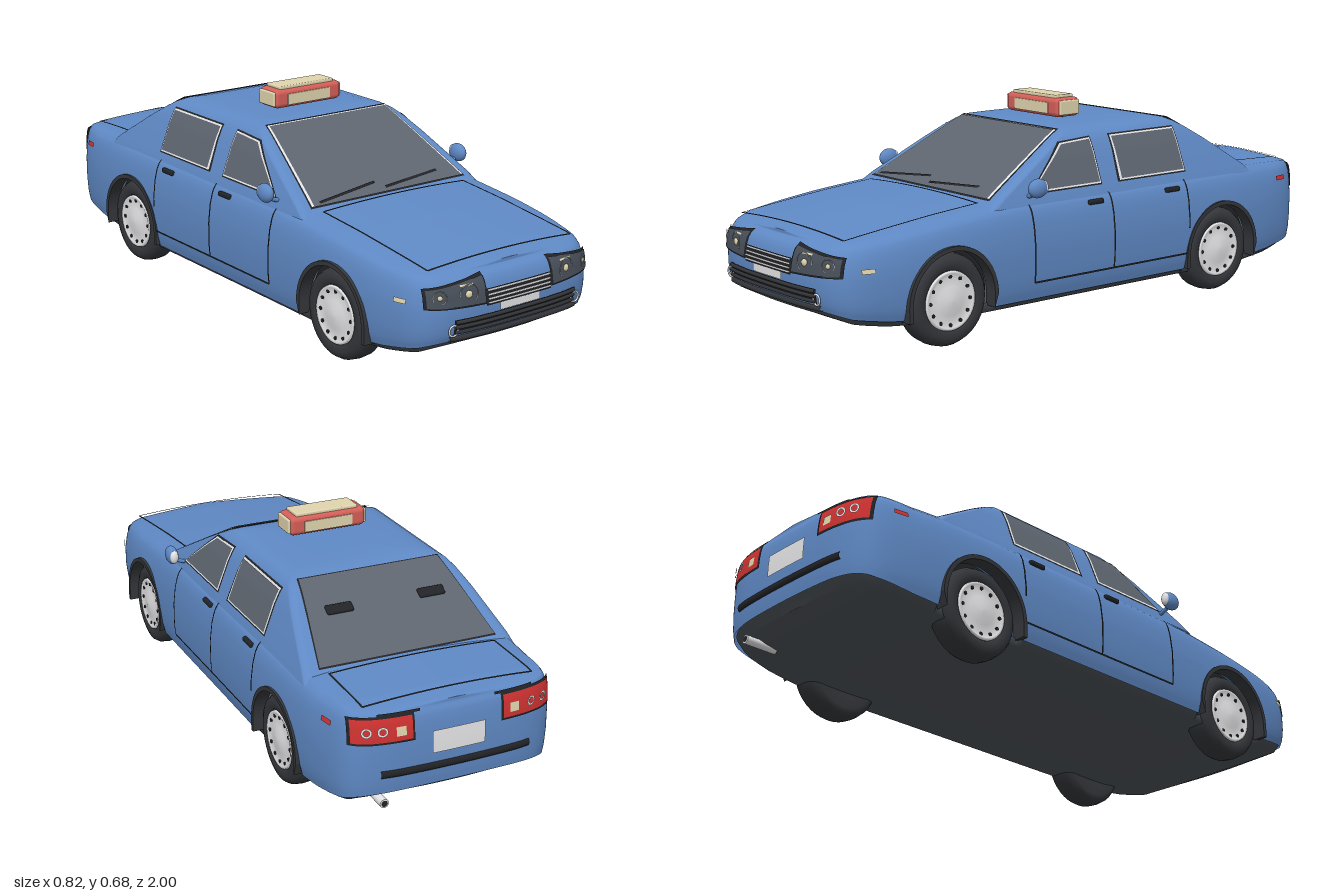
import * as THREE from 'three';
import { RoundedBoxGeometry } from 'three/addons/geometries/RoundedBoxGeometry.js';

const paint = (name, color) => Object.assign(new THREE.MeshStandardMaterial({ color, side: THREE.DoubleSide }), { name });
const M = {
  blue: paint('body blue', 0x5f89c5), glass: paint('window grey', 0x5e656f), black: paint('trim black', 0x222326),
  under: paint('underbody grey', 0x4c5157), tyre: paint('tyre grey', 0x34363a), silver: paint('silver', 0xe6e6e8),
  red: paint('beacon red', 0xd65f59), tail: paint('tail lamp red', 0xcf3231), cream: paint('lamp cream', 0xe0d5ae),
  lens: paint('headlamp grey', 0x474e58),
};

// Linear lookup in rows of [key, value, ...] with ascending keys
function look(t, k, c = 1) {
  let i = 1;
  while (i < t.length - 1 && t[i][0] < k) i++;
  const a = t[i - 1], b = t[i];
  const s = Math.min(1, Math.max(0, (k - a[0]) / (b[0] - a[0] || 1)));
  return a[c] + (b[c] - a[c]) * s;
}

// Half of the plan outline, from the nose along the +x flank to the tail
const HALF = new THREE.SplineCurve([[0, .992], [.12, .99], [.22, .98], [.29, .958], [.335, .912], [.36, .83], [.375, .7], [.38, .5], [.38, 0],
  [.38, -.5], [.375, -.7], [.362, -.83], [.338, -.92], [.295, -.962], [.22, -.983], [.12, -.99], [0, -.992]]
  .map(p => new THREE.Vector2(...p))).getSpacedPoints(300);
const WIDTH = HALF.map(p => [p.y, p.x]).reverse();
const NOSE = HALF.filter(p => p.y > .7).map(p => [p.x, p.y]);
const TAIL = HALF.filter(p => p.y < -.7).map(p => [p.x, -p.y]).reverse();
const OUTLINE = HALF.map((p, i) => {
  const a = HALF[Math.max(0, i - 1)], b = HALF[Math.min(HALF.length - 1, i + 1)];
  const t = b.clone().sub(a).normalize();
  const end = i === 0 || i === HALF.length - 1;
  return { x: p.x, z: p.y, nx: end ? 0 : -t.y, nz: end ? Math.sign(p.y) : t.x };
});
const LOOP = [...OUTLINE, ...OUTLINE.slice(1, -1).reverse().map(o => ({ ...o, x: -o.x, nx: -o.nx }))];

// Body rules: top line, bottom line, inset by height (squarer at the tail), wheel arches
const TOP = [[-1, .395], [-.9, .405], [-.7, .41], [.3, .405], [.4, .4], [.6, .383], [.9, .35], [1, .338]];
const BOT = [[0, .1], [.65, .1], [.8, .112], [.92, .13], [1, .155]];
const INSET = [[0, .014], [.12, .005], [.3, 0], [.55, 0], [.75, .007], [.87, .016], [.94, .026], [1, .045]];
const SQUARE = [[-.98, .4], [-.8, 1]];
const AXLES = [.59, -.545], HUB = .145, ARCH = .163;
const top = z => look(TOP, z), bot = z => look(BOT, Math.abs(z));
const inset = (z, y) => look(INSET, (y - bot(z)) / (top(z) - bot(z))) * look(SQUARE, z);
function archY(z) {
  for (const c of AXLES) if (Math.abs(z - c) < ARCH) return HUB + Math.sqrt(ARCH ** 2 - (z - c) ** 2);
  return 0;
}

// Cabin levels: y, front z, rear z, half width
const CABIN = [[.39, .43, -.72, .352], [.42, .385, -.685, .343], [.52, .205, -.53, .305], [.56, .132, -.465, .285], [.58, .095, -.43, .269],
  [.594, .065, -.4, .247], [.602, .025, -.36, .205], [.605, -.05, -.28, .1], [.606, -.165, -.165, 0]];

// Surface maps from flat coordinates to the shell
const onSide = (s, off = .004) => (z, y) => [s * (look(WIDTH, z) - inset(z, y) + off), y, z];
const onNose = (off = .005) => (x, y) => { const z = look(NOSE, Math.abs(x)); return [x, y, z - inset(z, y) + off]; };
const onTail = (off = .005) => (x, y) => { const z = -look(TAIL, Math.abs(x)); return [x, y, z + inset(z, y) - off]; };
const onTop = (x, z) => [x, top(z) + .012 * (1 - (x / (look(WIDTH, z) - .045)) ** 2) + .005, z];
const onCabinSide = (s, off) => (z, y) => [s * (look(CABIN, y, 3) + off), y + off / 3, z];
const onScreen = off => (x, y) => [x, y + off, look(CABIN, y, 1) + off];
const onBacklight = off => (x, y) => [x, y + off, look(CABIN, y, 2) - off];

// Surface through rows of points
function loft(rows, closed) {
  const n = rows[0].length, idx = [];
  for (let r = 0; r < rows.length - 1; r++) for (let i = 0; i < (closed ? n : n - 1); i++) {
    const j = (i + 1) % n, a = r * n + i, b = r * n + j;
    idx.push(a, b, b + n, a, b + n, a + n);
  }
  const g = new THREE.BufferGeometry();
  g.setAttribute('position', new THREE.Float32BufferAttribute(rows.flat(2), 3));
  g.setIndex(idx);
  g.computeVertexNormals();
  return g;
}

export function createModel() {
  const car = new THREE.Group();
  car.name = 'car';
  const add = (name, geo, mat, pos = [0, 0, 0], parent = car) => {
    const m = new THREE.Mesh(geo, mat);
    m.name = name;
    m.position.set(...pos);
    parent.add(m);
    return m;
  };
  // Thin curved plate: corners bottom-left, bottom-right, top-right, top-left
  const patch = (name, mat, [a, b, c, d], map, nu = 12, nv = 5) => {
    const mix = (p, q, t) => [p[0] + (q[0] - p[0]) * t, p[1] + (q[1] - p[1]) * t];
    const rows = [];
    for (let v = 0; v <= nv; v++) rows.push(Array.from({ length: nu + 1 }, (_, u) => map(...mix(mix(a, b, u / nu), mix(d, c, u / nu), v / nv))));
    return add(name, loft(rows, false), mat);
  };
  const line = (name, mat, p, q, map, w = .006) => {
    const l = Math.hypot(q[0] - p[0], q[1] - p[1]), x = -(q[1] - p[1]) / l * w / 2, y = (q[0] - p[0]) / l * w / 2;
    return patch(name, mat, [[p[0] - x, p[1] - y], [q[0] - x, q[1] - y], [q[0] + x, q[1] + y], [p[0] + x, p[1] + y]], map, 24, 1);
  };
  const rect = (x0, x1, y0, y1) => [[x0, y0], [x1, y0], [x1, y1], [x0, y1]];

  // Lower body with open wheel arches and a crowned top
  const rows = [0, .06, .12, .2, .3, .42, .55, .65, .75, .82, .87, .91, .94, .97, 1].map(f => LOOP.map(o => {
    const y = Math.max(bot(o.z) + f * (top(o.z) - bot(o.z)), archY(o.z)), d = inset(o.z, y);
    return [o.x - o.nx * d, y, o.z - o.nz * d];
  }));
  const rim = rows.at(-1);
  for (const s of [.85, .6, .3, 0]) rows.push(rim.map(([x, y, z]) => [x * s, y + .012 * (1 - s * s), z]));
  add('body', loft(rows, true), M.blue);

  // Underbody pan
  add('underbody', loft([[0, .035, -.021], [.5, .035, -.021], [1, .035, -.018], [1, .014, .012]].map(([s, d, h]) => LOOP.map(o => {
    const k = archY(o.z) ? .035 : d;
    return [(o.x - o.nx * k) * s, bot(o.z) + h, o.z - o.nz * k];
  })), true), M.under);

  // Cabin
  add('cabin', loft(CABIN.map(([y, zf, zr, w]) => {
    const ring = [], r = Math.min(.025, w / 2);
    for (let k = 0; k < 4; k++) for (let i = 0; i <= 4; i++) {
      const t = (k + i / 4) * Math.PI / 2, sx = k < 2 ? 1 : -1, front = k === 0 || k === 3;
      ring.push([sx * (w - r) + r * Math.sin(t), y, (front ? zf - r : zr + r) + r * Math.cos(t)]);
    }
    return ring;
  }), true), M.blue);

  // Front and rear glass: dark seal, bright bead, pane
  patch('windscreenSeal', M.black, [[-.308, .411], [.308, .411], [.241, .594], [-.241, .594]], onScreen(.002), 8, 10);
  patch('windscreenBead', M.silver, [[-.302, .415], [.302, .415], [.239, .591], [-.239, .591]], onScreen(.0035), 8, 10);
  patch('windscreen', M.glass, [[-.295, .413], [.295, .413], [.234, .589], [-.234, .589]], onScreen(.005), 8, 10);
  patch('rearWindowSeal', M.black, [[-.296, .421], [.296, .421], [.24, .592], [-.24, .592]], onBacklight(.002), 8, 10);
  patch('rearWindow', M.glass, [[-.292, .424], [.292, .424], [.236, .59], [-.236, .59]], onBacklight(.004), 8, 10);
  line('wiper', M.black, [-.27, .419], [-.035, .436], onScreen(.007), .005);
  line('wiper', M.black, [-.01, .422], [.215, .434], onScreen(.007), .005);
  for (const s of [-1, 1]) {
    const pad = add('rearWindowPad', new RoundedBoxGeometry(.088, .012, .034, 3, .006), M.black, onBacklight(.005)(s * .155, .525));
    pad.rotation.x = -.58;
  }

  // Panel lines on the bonnet and boot
  for (const [name, z0, z1, x] of [['bonnetLine', .425, .91, .28], ['bootLine', -.925, -.71, .275]]) {
    for (const s of [-1, 1]) line(name, M.black, [s * x, z0], [s * x, z1], onTop);
    for (const z of [z0, z1]) line(name, M.black, [-x, z], [x, z], onTop, .007);
  }

  for (const s of [-1, 1]) {
    // Side windows: dark seal, bright bead, pane
    for (const [bl, br, tr, tl] of [[[.255, .43], [-.02, .43], [-.02, .56], [.1, .554]], [[-.115, .43], [-.392, .43], [-.388, .56], [-.115, .56]]]) {
      const grow = e => [[bl[0] + e * 2, bl[1] - e], [br[0] - e, br[1] - e], [tr[0] - e, tr[1] + e], [tl[0] + e, tl[1] + e]];
      patch('sideWindowSeal', M.black, grow(.009), onCabinSide(s, .002), 4, 12);
      patch('sideWindowBead', M.silver, grow(.0045), onCabinSide(s, .0035), 4, 12);
      patch('sideWindow', M.glass, grow(0), onCabinSide(s, .005), 4, 12);
    }
    // Door gaps and handles
    for (const [z, y0] of [[.28, .155], [-.05, .155], [-.385, .24]]) line('doorGap', M.black, [z, y0], [z, .402], onSide(s));
    line('doorGap', M.black, [.28, .155], [-.378, .155], onSide(s));
    for (const z of [.015, -.32]) add('doorHandle', new RoundedBoxGeometry(.016, .016, .062, 2, .006), M.black, onSide(s, .003)(z, .374));
    // Side marker lamps
    patch('frontMarker', M.cream, rect(.855, .895, .265, .279), onSide(s, .006), 3, 1);
    patch('rearMarker', M.tail, rect(-.878, -.832, .345, .36), onSide(s, .006), 3, 1);

    // Door mirror with rear-facing glass
    const mirror = add('doorMirror', new THREE.SphereGeometry(1, 20, 14), M.blue, [s * .388, .449, .275]);
    mirror.scale.set(.02, .03, .036);
    const mirrorGlass = add('mirrorGlass', new THREE.SphereGeometry(1, 16, 10), M.silver, [s * .388, .449, .25]);
    mirrorGlass.scale.set(.0145, .022, .012);
    add('mirrorStalk', new THREE.TubeGeometry(new THREE.CatmullRomCurve3([[.325, .415], [.355, .422], [.388, .437]]
      .map(([x, y]) => new THREE.Vector3(s * x, y, .275))), 8, .007, 8), M.blue);

    // Headlamp cluster
    const q = [[.125, .247], [.318, .254], [.318, .314], [.125, .335]], inner = [[.131, .252], [.312, .259], [.312, .309], [.131, .329]];
    patch('headlampHousing', M.black, q.map(([x, y]) => [s * x, y]), onNose(.005), 16, 8);
    patch('headlampLens', M.lens, inner.map(([x, y]) => [s * x, y]), onNose(.008), 16, 8);
    for (const [x, r, turn] of [[.19, .03, .2], [.28, .02, .55]]) {
      const lamp = new THREE.Group();
      lamp.name = 'headlamp';
      lamp.position.set(...onNose(.009)(s * x, .288));
      lamp.rotation.y = s * turn;
      add('lampRing', new THREE.TorusGeometry(r, .0013, 6, 28), M.silver, [0, 0, 0], lamp);
      add('bulb', new THREE.SphereGeometry(r * .38, 14, 10), M.cream, [0, 0, 0], lamp).scale.z = .5;
      car.add(lamp);
    }
    patch('turnSignal', M.cream, rect(s * .17, s * .215, .311, .316), onNose(.0095), 4, 1);
    add('fogLampRing', new THREE.TorusGeometry(.016, .003, 8, 20), M.silver, onNose(.006)(s * .238, .185));

    // Tail lamp cluster
    patch('tailLampHousing', M.black, rect(s * .14, s * .328, .308, .391), onTail(.003), 16, 8);
    patch('tailLamp', M.tail, rect(s * .147, s * .322, .315, .385), onTail(.005), 16, 8);
    patch('reverseLamp', M.cream, rect(s * .168, s * .198, .33, .358), onTail(.007), 3, 2);
    for (const x of [.24, .285]) {
      const ring = add('tailLampRing', new THREE.RingGeometry(.009, .016, 20), M.silver, onTail(.011)(s * x, .35));
      ring.rotation.y = Math.PI - s * (x - .13) * 3;
    }
    patch('bootHandle', M.black, rect(s * .12, s * .25, .39, .397), onTail(.004), 6, 1);

    for (const z of AXLES) {
      // Wheel well and dark arch lip
      const well = new THREE.Shape().moveTo(ARCH, -.05).absarc(0, 0, ARCH, 0, Math.PI).lineTo(-ARCH, -.05);
      const wellGeo = new THREE.ExtrudeGeometry(well, { depth: .12, bevelEnabled: false, curveSegments: 28 }).rotateY(Math.PI / 2);
      add('wheelWell', wellGeo, M.black, [s > 0 ? .2 : -.32, HUB, z]);
      const lip = new THREE.Shape().moveTo(.166, -.042).absarc(0, 0, .166, 0, Math.PI).lineTo(-.166, -.042).lineTo(-.152, -.042);
      lip.absarc(0, 0, .152, Math.PI, 0, true).lineTo(.152, -.042);
      const lipGeo = new THREE.ExtrudeGeometry(lip, { depth: .045, bevelEnabled: false, curveSegments: 28 }).rotateY(Math.PI / 2);
      add('archLip', lipGeo, M.tyre, [s > 0 ? .338 : -.383, HUB, z]);

      // Wheel: tyre, rim, hub and vents, built along +y then turned outward
      const wheel = new THREE.Group();
      wheel.name = 'wheel';
      wheel.position.set(s * .317, .143, z);
      wheel.rotation.z = -s * Math.PI / 2;
      const spin = pts => new THREE.LatheGeometry(pts.map(p => new THREE.Vector2(...p)), 40);
      add('tyre', spin([[.0, -.04], [.085, -.044], [.115, -.048], [.131, -.042], [.14, -.027], [.143, 0], [.14, .027], [.131, .042], [.115, .048], [.095, .046], [.088, .036]]), M.tyre, [0, 0, 0], wheel);
      add('rim', spin([[.092, .038], [.09, .047], [.083, .046], [.07, .041], [.045, .045], [.02, .05], [0, .051]]), M.silver, [0, 0, 0], wheel);
      for (let i = 0; i < 12; i++) {
        const a = i * Math.PI / 6;
        add('rimVent', new THREE.CylinderGeometry(.006, .006, .004, 10), M.black, [Math.cos(a) * .074, .043, Math.sin(a) * .074], wheel);
      }
      car.add(wheel);
    }
  }

  // Grille, plates and bumper bars
  patch('grille', M.black, rect(-.126, .126, .241, .29), onNose(.004), 12, 3);
  const bar = (name, mat, y, w, r, map) => add(name, new THREE.TubeGeometry(new THREE.CatmullRomCurve3(
    Array.from({ length: 13 }, (_, i) => new THREE.Vector3(...map((i / 6 - 1) * w, y)))), 36, r, 8), mat);
  for (const y of [.248, .26, .272, .285]) bar('grilleBar', M.silver, y, .122, .003, onNose(.005));
  patch('frontPlate', M.silver, rect(-.078, .078, .219, .242), onNose(.006), 6, 1);
  patch('lowerIntake', M.black, rect(-.235, .235, .172, .217), onNose(.004), 16, 3);
  for (const y of [.178, .194, .209]) bar('intakeBar', M.tyre, y, .232, .007, onNose(.002));
  bar('lowerBumperBar', M.tyre, .157, .245, .009, onNose(.002));
  patch('rearPlate', M.silver, rect(-.085, .085, .255, .325), onTail(.005), 6, 2);
  bar('rearBumperBar', M.black, .212, .24, .014, onTail(-.006));

  // Exhaust pipe
  add('exhaustPipe', new THREE.CylinderGeometry(.014, .014, .11, 18).rotateX(Math.PI / 2), M.silver, [.22, .108, -.91]);
  add('exhaustBore', new THREE.CircleGeometry(.01, 16), M.black, [.22, .108, -.966]);

  // Roof beacon
  const beacon = new THREE.Group();
  beacon.name = 'roofBeacon';
  beacon.position.set(0, .641, -.075);
  add('beaconBody', new RoundedBoxGeometry(.264, .062, .098, 4, .016), M.red, [0, 0, 0], beacon);
  add('beaconTop', new RoundedBoxGeometry(.216, .014, .076, 2, .004), M.cream, [0, .033, 0], beacon);
  for (const s of [-1, 1]) {
    add('beaconPanel', new THREE.BoxGeometry(.168, .036, .008), M.cream, [0, -.003, s * .048], beacon);
    add('beaconEnd', new RoundedBoxGeometry(.012, .048, .084, 2, .005), M.cream, [s * .131, 0, 0], beacon);
    add('beaconFoot', new THREE.CylinderGeometry(.01, .012, .014, 12), M.black, [s * .085, -.035, 0], beacon);
  }
  car.add(beacon);
  return car;
}
